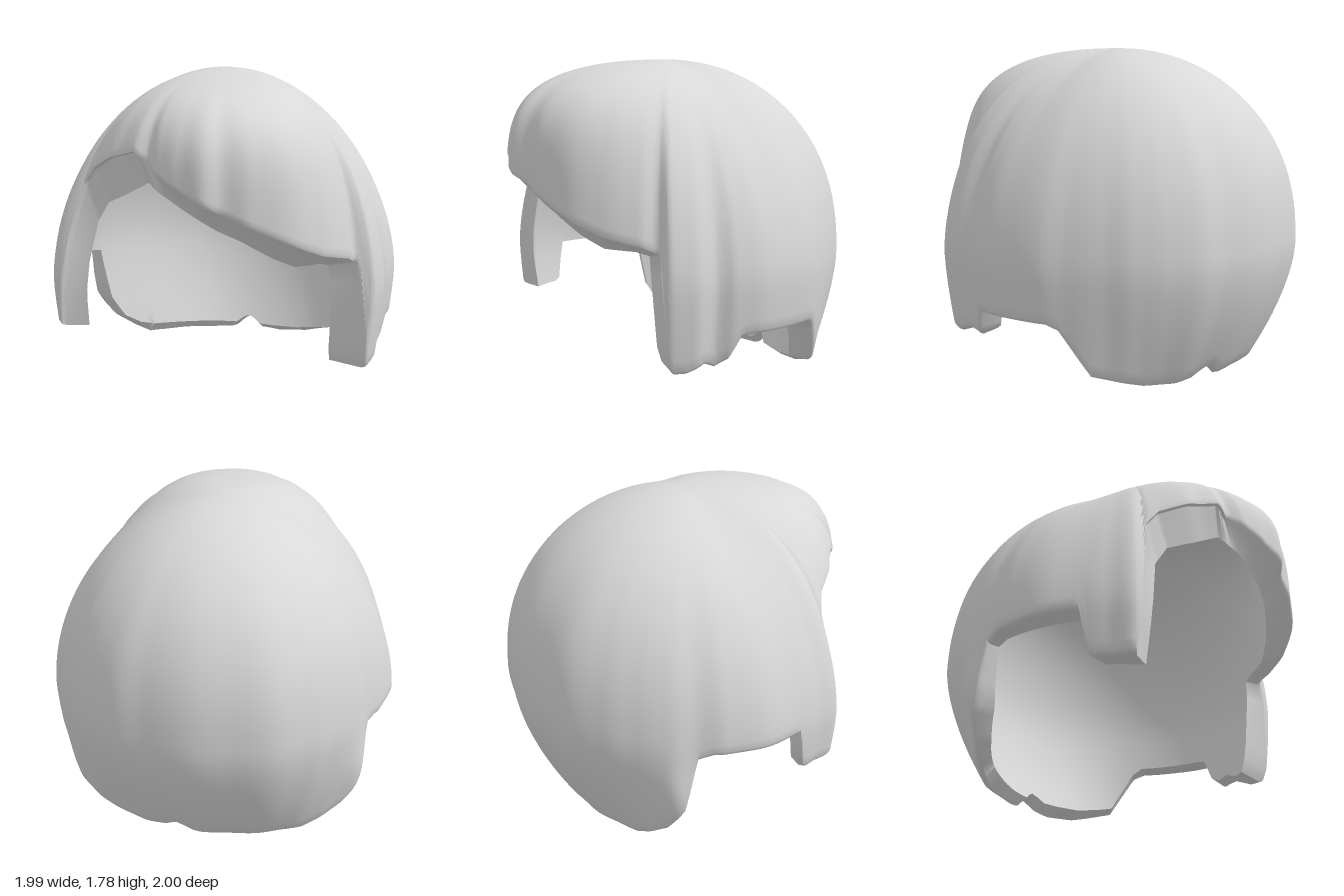
import * as THREE from 'three';
import { mergeVertices, toCreasedNormals } from 'three/addons/utils/BufferGeometryUtils.js';

const TOP = 1.78, INNER_TOP = 1.62;

// Widest radius of the hair by angle in degrees (0 = front, 90 = +x)
const radii = [
  [-180, 1.0], [-170, 0.995], [-155, 1.02], [-142, 1.0], [-132, 0.985], [-122, 0.98], [-113, 0.955],
  [-104, 0.98], [-90, 1.0], [-80, 0.99], [-70, 1.0], [-62, 1.03], [-57, 0.98], [-50, 0.97], [-42, 0.97],
  [-34, 0.94], [-28, 0.945], [-22.5, 0.89], [-18, 0.94], [-10, 0.965], [-2, 1.0], [4, 0.965], [12, 0.99],
  [25, 1.01], [35, 1.0], [46, 0.985], [51, 0.955], [55, 1.035], [62, 1.02], [70, 0.95], [76, 0.98],
  [85, 0.995], [95, 0.99], [105, 0.99], [115, 0.97], [125, 0.97], [135, 0.99], [145, 1.0], [155, 1.01],
  [165, 0.99], [180, 1.0],
];

// Hem height by angle: outer edge, inner edge
const hems = [
  [-180, 0, 0.05], [-136, 0.0, 0.06], [-130, 0.05, 0.08], [-123, 0.13, 0.14], [-117, 0.28, 0.28],
  [-113, 0.6, 0.6], [-108, 0.63, 0.62], [-78, 0.64, 0.62], [-75, 0.4, 0.4], [-73, 0.38, 0.38],
  [-61, 0.38, 0.38], [-59.5, 0.6, 0.6], [-57, 1.18, 0.98], [-52, 1.28, 1.1], [-40, 1.36, 1.17],
  [-28, 1.41, 1.25], [-23, 1.36, 1.21], [-18, 1.31, 1.18], [-6, 1.21, 1.09], [2, 1.14, 1.03],
  [12, 1.06, 0.97], [25, 0.96, 0.87], [35, 0.89, 0.81], [47, 0.84, 0.8], [52, 0.8, 0.78],
  [54.5, 0.26, 0.3], [56, 0.2, 0.22], [60, 0.2, 0.21], [66, 0.24, 0.24], [70, 0.21, 0.22],
  [74, 0.25, 0.25], [78, 0.37, 0.37], [82, 0.38, 0.38], [107, 0.38, 0.38], [111, 0.35, 0.34],
  [121, 0.1, 0.11], [128, 0.07, 0.09], [140, 0.02, 0.06], [154, 0, 0.05], [163, 0.01, 0.05],
  [167, 0.05, 0.08], [170, 0.075, 0.095], [173, 0.05, 0.08], [177, 0.01, 0.05], [180, 0, 0.05],
];

function lookup(table, deg, column, smooth) {
  let k = 1;
  while (k < table.length - 1 && table[k][0] < deg) k++;
  const a = table[k - 1], b = table[k];
  let t = (deg - a[0]) / (b[0] - a[0]);
  if (smooth) t = t * t * (3 - 2 * t);
  return a[column] + (b[column] - a[column]) * t;
}

// Rounded dome profile: 1 at the middle height, 0 at the top
function dome(y, middle, e, m) {
  const u = Math.min(1, Math.max(0, (y - middle) / (TOP - middle)));
  return Math.pow(1 - Math.pow(u, e), m);
}

// Relative width of the head of hair at a height: full at the front, rounder at the sides
function upperShape(c, y) {
  const end = c > 0 ? dome(y, 1.0, 4.5, 0.43) : dome(y, 0.72, 2.4, 0.49);
  const side = dome(y, 0.6, 1.9, 0.55);
  return side + (end - side) * Math.pow(Math.abs(c), c > 0 ? 2 : 1.2);
}

// Nape curls inward, sides only slightly
function lowerTaper(c, y) {
  const back = THREE.MathUtils.smoothstep(-c, 0.4, 1);
  return 1 - (0.09 + 0.19 * back) * Math.pow(Math.max(0, (0.7 - y) / 0.7), 1.6);
}

function outerRadius(deg, y) {
  const c = Math.cos(deg * Math.PI / 180), f = upperShape(c, y);
  // strands fade out towards the crown
  const k = f * f * f;
  // small curl beside the notch behind the -x side
  const curl = 0.04 * Math.exp(-(((deg + 119) / 6) ** 2) - ((y - 0.35) / 0.2) ** 2);
  return (0.985 + (lookup(radii, deg, 1, true) - 0.985) * k) * f * lowerTaper(c, y) + curl;
}

function innerRadius(deg, y) {
  const t = deg * Math.PI / 180, c = Math.cos(t);
  return (0.85 - 0.035 * Math.sin(t)) * upperShape(c, y * TOP / INNER_TOP) * lowerTaper(c, y);
}

// Closed cross-section at one angle: crown, hem, then up the inside
function section(deg) {
  const points = [], rows = 44, innerRows = 24;
  const t = deg * Math.PI / 180;
  const add = (angle, r, y) => points.push([r * Math.sin(angle), y, r * Math.cos(angle)]);
  const outer = lookup(hems, deg, 1), inner = lookup(hems, deg, 2);
  const low = outer + 0.025;
  for (let j = 0; j <= rows; j++) {
    const y = TOP - (TOP - low) * (1 - Math.cos(j / rows * Math.PI / 2));
    add(t, j ? outerRadius(deg, y) : 0, y);
  }
  // rounded lip
  add(t, outerRadius(deg, outer) - 0.008, outer + 0.007);
  add(t, outerRadius(deg, outer) - 0.028, outer);
  // the inside edge turns forward so the cut faces of the front locks look ahead
  const turned = t - 0.075 * 2 * Math.sin(t) * Math.max(0, Math.cos(t));
  for (let j = innerRows; j >= 0; j--) {
    const y = INNER_TOP - (INNER_TOP - inner) * (1 - Math.cos(j / innerRows * Math.PI / 2));
    add(turned, j ? innerRadius(deg, y) : 0, y);
  }
  return points;
}

function hairGeometry() {
  // even angles plus the exact corners of the hem
  const set = new Set(hems.map(h => h[0]));
  for (let d = -180; d < 180; d += 1.5) set.add(d);
  set.delete(180);
  const angles = [...set].sort((a, b) => a - b);
  const sections = angles.map(section), n = sections[0].length;
  const index = [];
  for (let i = 0; i < angles.length; i++) {
    const a = i * n, b = ((i + 1) % angles.length) * n;
    for (let j = 0; j < n - 1; j++) {
      if (j < n - 2) index.push(a + j, a + j + 1, b + j + 1);
      if (j > 0) index.push(a + j, b + j + 1, b + j);
    }
  }
  const g = new THREE.BufferGeometry();
  g.setAttribute('position', new THREE.Float32BufferAttribute(sections.flat(2), 3));
  g.setIndex(index);
  return toCreasedNormals(mergeVertices(g, 1e-5), 0.9);
}

export function createModel() {
  const group = new THREE.Group();
  group.name = 'bobHair';
  const grey = new THREE.MeshStandardMaterial({ color: 0xd8d8d8 });
  grey.name = 'hairGrey';
  const hair = new THREE.Mesh(hairGeometry(), grey);
  hair.name = 'hairShell';
  group.add(hair);
  return group;
}
